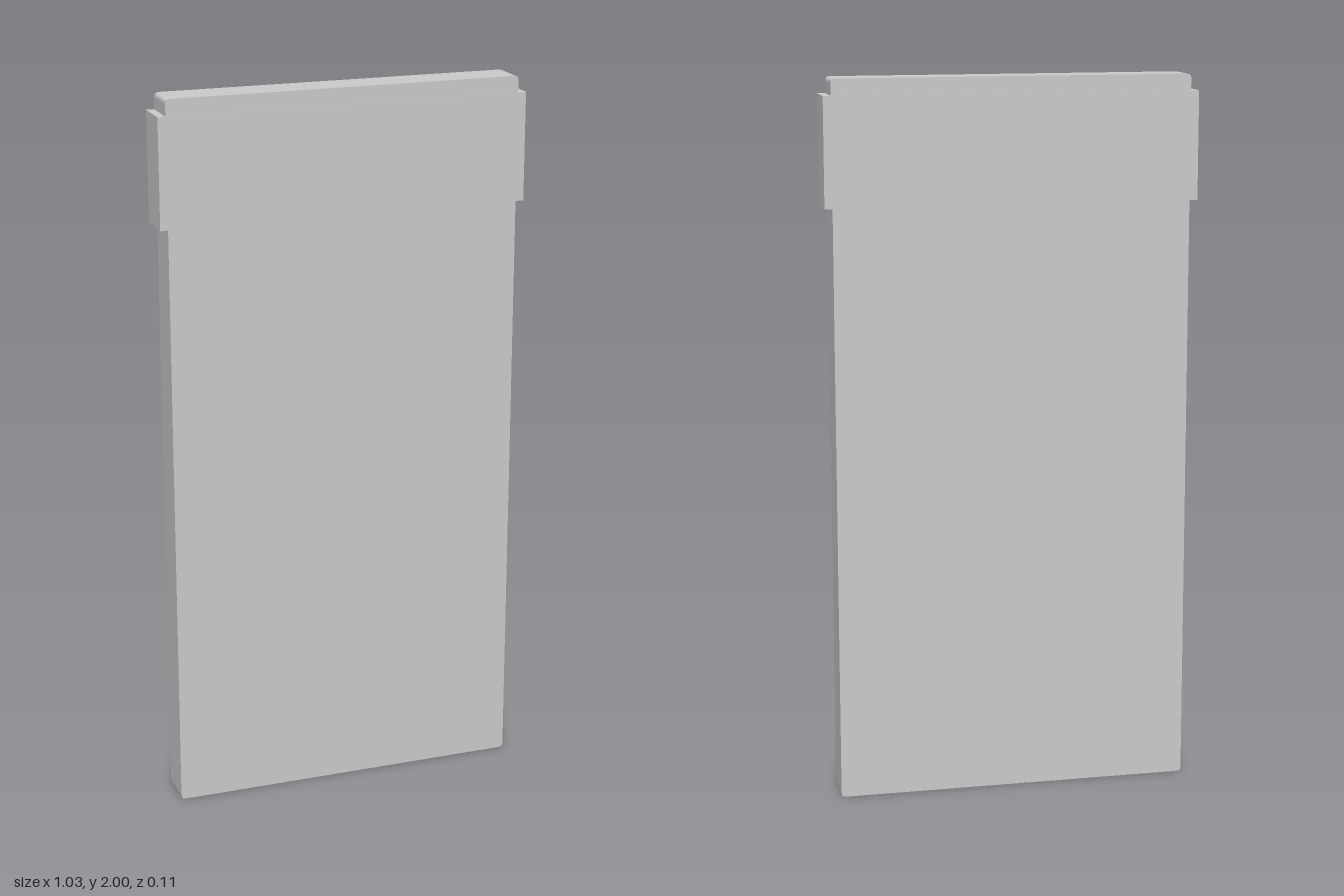
import * as THREE from 'three';

const material = new THREE.MeshStandardMaterial({ color: 0xcccccc, flatShading: true });

// Upright slab outline with small rounded corners, extruded about z = 0
function roundedSlab(width, height, depth, r) {
  const w = width / 2;
  const s = new THREE.Shape();
  s.moveTo(-w + r, 0);
  s.lineTo(w - r, 0);
  s.quadraticCurveTo(w, 0, w, r);
  s.lineTo(w, height - r);
  s.quadraticCurveTo(w, height, w - r, height);
  s.lineTo(-w + r, height);
  s.quadraticCurveTo(-w, height, -w, height - r);
  s.lineTo(-w, r);
  s.quadraticCurveTo(-w, 0, -w + r, 0);
  const g = new THREE.ExtrudeGeometry(s, { depth, bevelEnabled: false, curveSegments: 3 });
  return g.translate(0, 0, -depth / 2);
}

export function createModel() {
  const model = new THREE.Group();
  model.name = 'bandedPanel';

  // Main panel
  const panel = new THREE.Mesh(roundedSlab(0.99, 2, 0.104, 0.012), material);
  panel.name = 'panel';
  model.add(panel);

  // Band wrapped around the upper part, slightly proud of the panel
  const bottom = 1.655, top = 1.955;
  const band = new THREE.Mesh(new THREE.BoxGeometry(1.034, top - bottom, 0.109), material);
  band.name = 'band';
  band.position.y = (bottom + top) / 2;
  model.add(band);

  return model;
}
